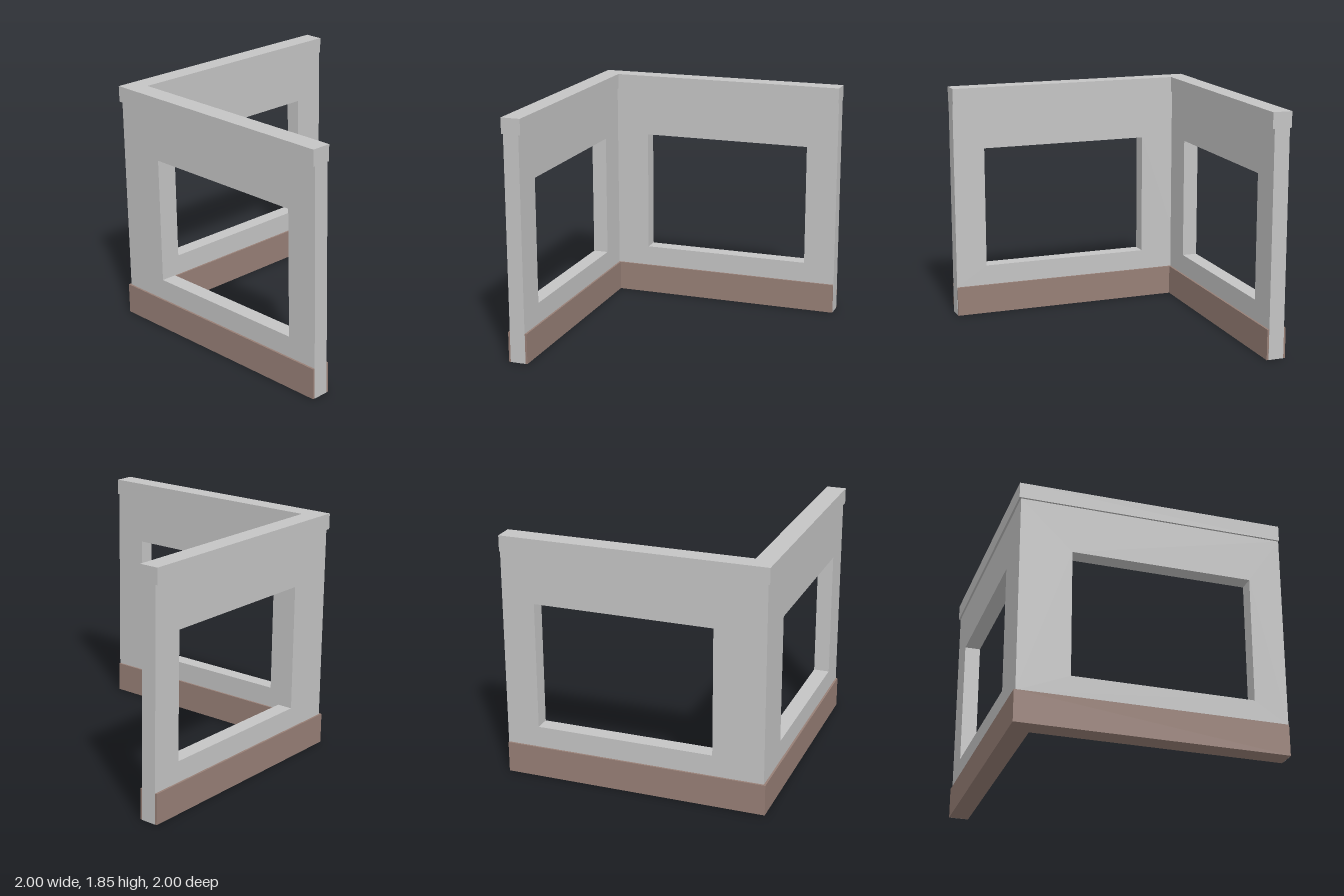
import * as THREE from 'three';

const OUT = 0.985, IN = 0.865;      // outer and inner faces of the walls
const BASE_TOP = 0.235, TRIM_BOTTOM = 1.73, TOP = 1.85;

// L-shaped slab running around the corner, between heights y0 and y1
function cornerBand(y0, y1, end, material, name) {
  const shape = new THREE.Shape([
    [-1, -1], [end, -1], [end, -0.85], [-0.85, -0.85], [-0.85, end], [-1, end],
  ].map(([x, y]) => new THREE.Vector2(x, y)));
  const geometry = new THREE.ExtrudeGeometry(shape, { depth: y1 - y0, bevelEnabled: false });
  geometry.rotateX(-Math.PI / 2).translate(0, y0, 0);
  const mesh = new THREE.Mesh(geometry, material);
  mesh.name = name;
  return mesh;
}

// Upright panel from s0 to 1 with a rectangular window opening
function wallPanel(s0, z0, material, name) {
  const rect = (Type, x0, y0, x1, y1) => new Type([
    new THREE.Vector2(x0, y0), new THREE.Vector2(x1, y0),
    new THREE.Vector2(x1, y1), new THREE.Vector2(x0, y1),
  ]);
  const shape = rect(THREE.Shape, s0, BASE_TOP, 1, TRIM_BOTTOM);
  shape.holes.push(rect(THREE.Path, -0.6, 0.395, 0.75, 1.36));
  const geometry = new THREE.ExtrudeGeometry(shape, { depth: OUT - IN, bevelEnabled: false });
  geometry.translate(0, 0, z0);
  const mesh = new THREE.Mesh(geometry, material);
  mesh.name = name;
  return mesh;
}

export function createModel() {
  const plaster = new THREE.MeshStandardMaterial({ color: 0xc4c4c4 });
  plaster.name = 'grey plaster';
  const skirting = new THREE.MeshStandardMaterial({ color: 0x977f76 });
  skirting.name = 'brown skirting';

  const model = new THREE.Group();
  model.name = 'cornerWall';

  // Two walls meeting at the front left corner
  const frontWall = wallPanel(-OUT, IN, plaster, 'frontWall');
  const sideWall = wallPanel(-IN, -OUT, plaster, 'sideWall');
  sideWall.rotation.y = Math.PI / 2;
  model.add(frontWall, sideWall);

  // Skirting at the foot and trim along the top
  const plate = 0.002;
  model.add(cornerBand(0, BASE_TOP, 1 - plate, skirting, 'skirting'));
  model.add(cornerBand(TRIM_BOTTOM, TOP, 1, plaster, 'topTrim'));

  // Bare wall ends showing between the skirting boards
  const endGeometry = new THREE.BoxGeometry(plate, BASE_TOP, OUT - IN);
  const frontEnd = new THREE.Mesh(endGeometry, plaster);
  frontEnd.name = 'frontWallEnd';
  frontEnd.position.set(1 - plate / 2, BASE_TOP / 2, (OUT + IN) / 2);
  const sideEnd = new THREE.Mesh(endGeometry, plaster);
  sideEnd.name = 'sideWallEnd';
  sideEnd.rotation.y = Math.PI / 2;
  sideEnd.position.set(-(OUT + IN) / 2, BASE_TOP / 2, -1 + plate / 2);
  model.add(frontEnd, sideEnd);

  return model;
}
